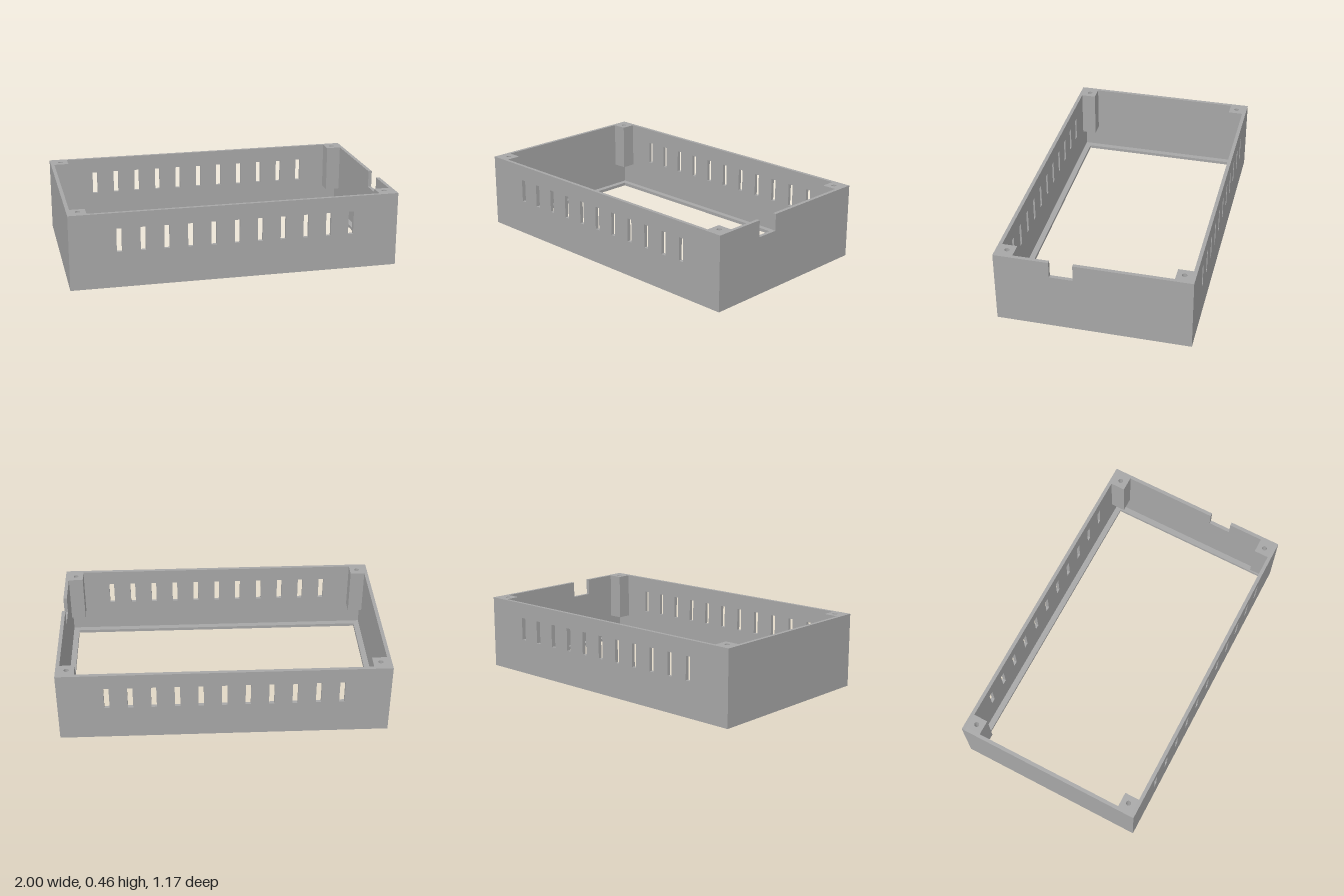
import * as THREE from 'three';

const W = 1, D = 0.585, H = 0.46;   // half width, half depth, height
const T = 0.022;                    // wall thickness
const LIP = 0.058, LIP_H = 0.02;    // bottom lip reach and thickness
const POST = 0.113, POST_Y = 0.165; // corner post reach and underside
const HOLE_DEPTH = 0.2;

const grey = new THREE.MeshStandardMaterial({ color: 0xa6a6a6 });
grey.name = 'grey';

function poly(points, holes = []) {
  const shape = new THREE.Shape(points.map(([x, y]) => new THREE.Vector2(x, y)));
  shape.holes.push(...holes);
  return shape;
}

const rect = (x0, y0, x1, y1) => [[x0, y0], [x1, y0], [x1, y1], [x0, y1]];

function extrude(name, shape, depth) {
  const geo = new THREE.ExtrudeGeometry(shape, { depth, bevelEnabled: false, curveSegments: 16 });
  const mesh = new THREE.Mesh(geo, grey);
  mesh.name = name;
  return mesh;
}

export function createModel() {
  const model = new THREE.Group();
  model.name = 'enclosureFrame';

  // long walls with a row of eleven vent slots
  const slots = [];
  for (let i = -5; i <= 5; i++) {
    const x = i * 0.141;
    slots.push(poly(rect(x - 0.016, 0.22, x + 0.016, 0.364)));
  }
  for (const [name, z] of [['frontWall', D - T], ['backWall', -D]]) {
    const wall = extrude(name, poly(rect(-W, 0, W, H), slots), T);
    wall.position.z = z;
    model.add(wall);
  }

  // end walls, the left one with a cable notch in its top edge
  const d = D - T;
  const notched = [[-d, 0], [d, 0], [d, H], [-0.113, H], [-0.113, 0.357],
    [-0.254, 0.357], [-0.254, H], [-d, H]];
  for (const [name, outline, x] of [
    ['leftWall', notched, W - T], ['rightWall', rect(-d, 0, d, H), -W]]) {
    const wall = extrude(name, poly(outline), T);
    wall.rotation.y = Math.PI / 2;
    wall.position.x = x;
    model.add(wall);
  }

  // thin lip around the open bottom
  const opening = poly(rect(-W + LIP, -D + LIP, W - LIP, D - LIP));
  const lip = extrude('bottomLip', poly(rect(-W + T, -d, W - T, d), [opening]), LIP_H);
  lip.rotation.x = -Math.PI / 2;
  model.add(lip);

  // corner posts with blind screw holes
  const size = POST - T;
  for (const sx of [-1, 1]) for (const sz of [-1, 1]) {
    const post = new THREE.Group();
    post.name = 'cornerPost';
    post.position.set(sx * (W - T - size / 2), 0, sz * (D - T - size / 2));

    const hole = new THREE.Path();
    hole.absarc(sx * 0.001, -sz * 0.001, 0.015, 0, Math.PI * 2, true);
    const h = size / 2;
    const upper = extrude('postTop', poly(rect(-h, -h, h, h), [hole]), HOLE_DEPTH);
    upper.rotation.x = -Math.PI / 2;
    upper.position.y = H - HOLE_DEPTH;

    const baseH = H - HOLE_DEPTH - POST_Y;
    const base = new THREE.Mesh(new THREE.BoxGeometry(size, baseH, size), grey);
    base.name = 'postBase';
    base.position.y = POST_Y + baseH / 2;
    post.add(upper, base);
    model.add(post);
  }
  return model;
}
